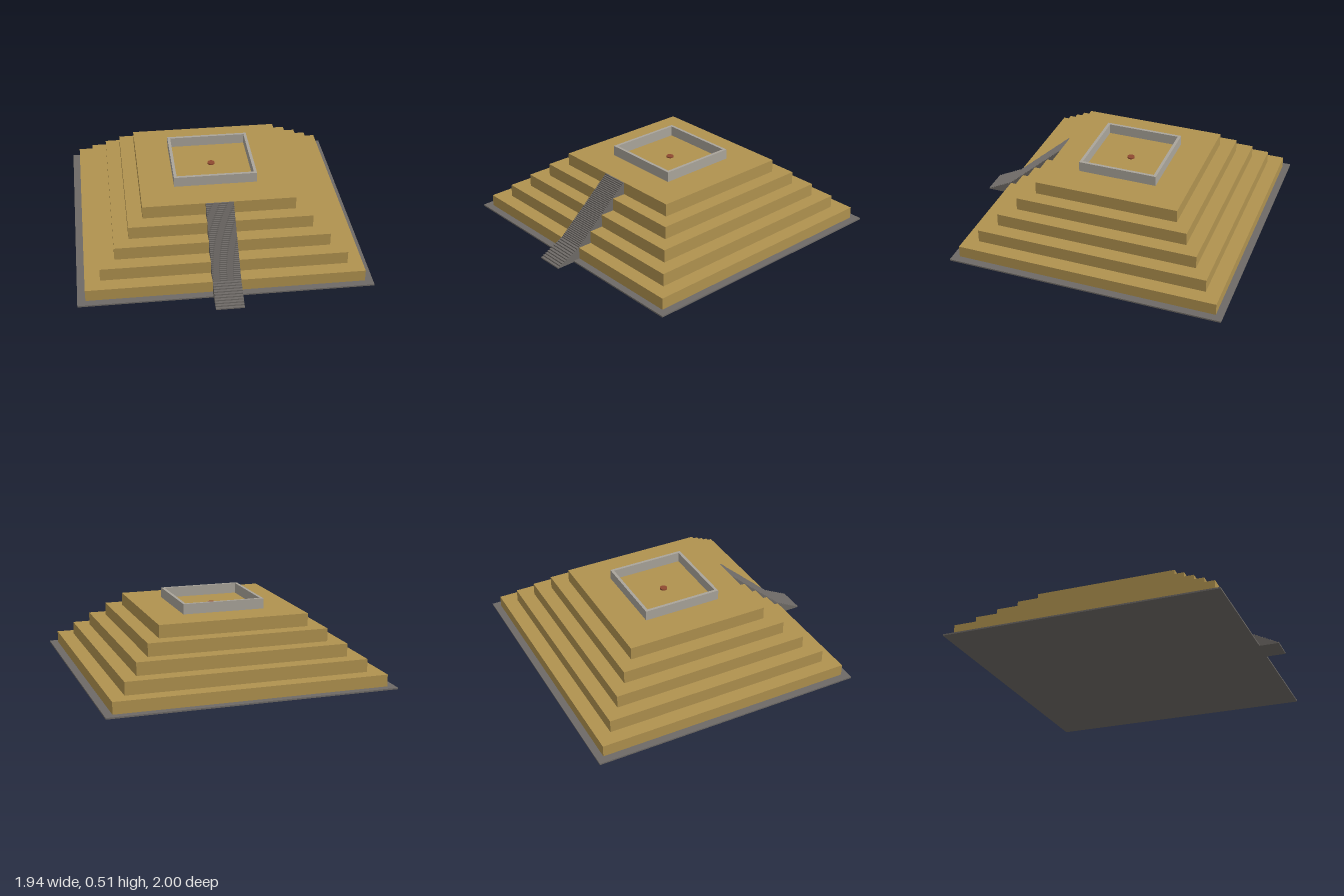
import * as THREE from 'three';

const CZ = -0.065; // centre of the pyramid in z; the stairs reach forward from it

const material = (color) => new THREE.MeshStandardMaterial({ color });

function box(name, w, h, d, x, y, z, mat) {
  const mesh = new THREE.Mesh(new THREE.BoxGeometry(w, h, d), mat);
  mesh.name = name;
  mesh.position.set(x, y + h / 2, z); // y is the underside
  return mesh;
}

export function createModel() {
  const model = new THREE.Group();
  model.name = 'steppedPyramid';
  const earth = material(0xb0924f);
  const darkStone = material(0x6e6a66);
  const paleStone = material(0xaaa59b);
  const clay = material(0x8f4a30);

  // Thin ground slab
  model.add(box('baseSlab', 1.94, 0.01, 1.87, 0, 0, CZ, darkStone));

  // Five terraces, each set back by the same amount
  const tiers = 5, rise = 0.0875, bottom = 0.0025, setback = 0.1;
  const tierTop = (i) => bottom + rise * (i + 1);
  const tierFront = (i) => CZ + 0.887 - setback * 0.98 * i;
  for (let i = 0; i < tiers; i++) {
    const w = 2 * (0.917 - setback * 1.01 * i);
    const d = 2 * (tierFront(i) - CZ);
    model.add(box('terrace' + (i + 1), w, rise, d, 0, tierTop(i) - rise, CZ, earth));
  }

  // Staircase: ten steps per terrace, the lowest flight with deeper treads
  const perTier = 10;
  const profile = new THREE.Shape();
  profile.moveTo(1, 0);
  let z = 1, y = 0;
  for (let i = 0; i < tiers; i++) {
    const endZ = tierFront(i);
    const tread = (z - endZ) / perTier, riser = (tierTop(i) - y) / perTier;
    for (let s = 0; s < perTier; s++) {
      y += riser;
      profile.lineTo(z, y);
      z -= tread;
      profile.lineTo(z, y);
    }
  }
  // Return under the steps, inside the terraces
  profile.lineTo(z, tierTop(tiers - 2));
  profile.lineTo(tierFront(0) - 0.02, 0);
  profile.closePath();
  const width = 0.186;
  const stairGeometry = new THREE.ExtrudeGeometry(profile, { depth: width, bevelEnabled: false });
  stairGeometry.rotateY(-Math.PI / 2); // profile runs along +z, extrusion along -x
  stairGeometry.translate(width / 2, 0, 0);
  const stairs = new THREE.Mesh(stairGeometry, darkStone);
  stairs.name = 'staircase';
  model.add(stairs);

  // Low open enclosure on the summit
  const top = tierTop(tiers - 1), half = 0.282, halfD = 0.272, t = 0.02, wallH = 0.07;
  const enclosure = new THREE.Group();
  enclosure.name = 'summitEnclosure';
  for (const s of [-1, 1]) {
    enclosure.add(
      box(s > 0 ? 'frontWall' : 'backWall', 2 * half, wallH, t, 0, top, CZ + s * (halfD - t / 2), paleStone),
      box(s > 0 ? 'leftWall' : 'rightWall', t, wallH, 2 * (halfD - t), s * (half - t / 2), top, CZ, paleStone)
    );
  }
  model.add(enclosure);

  // Small round hearth in the middle of the enclosure
  const hearth = new THREE.Mesh(new THREE.CylinderGeometry(0.025, 0.025, 0.009, 24), clay);
  hearth.name = 'hearth';
  hearth.position.set(0, top + 0.0045, CZ);
  model.add(hearth);

  return model;
}
